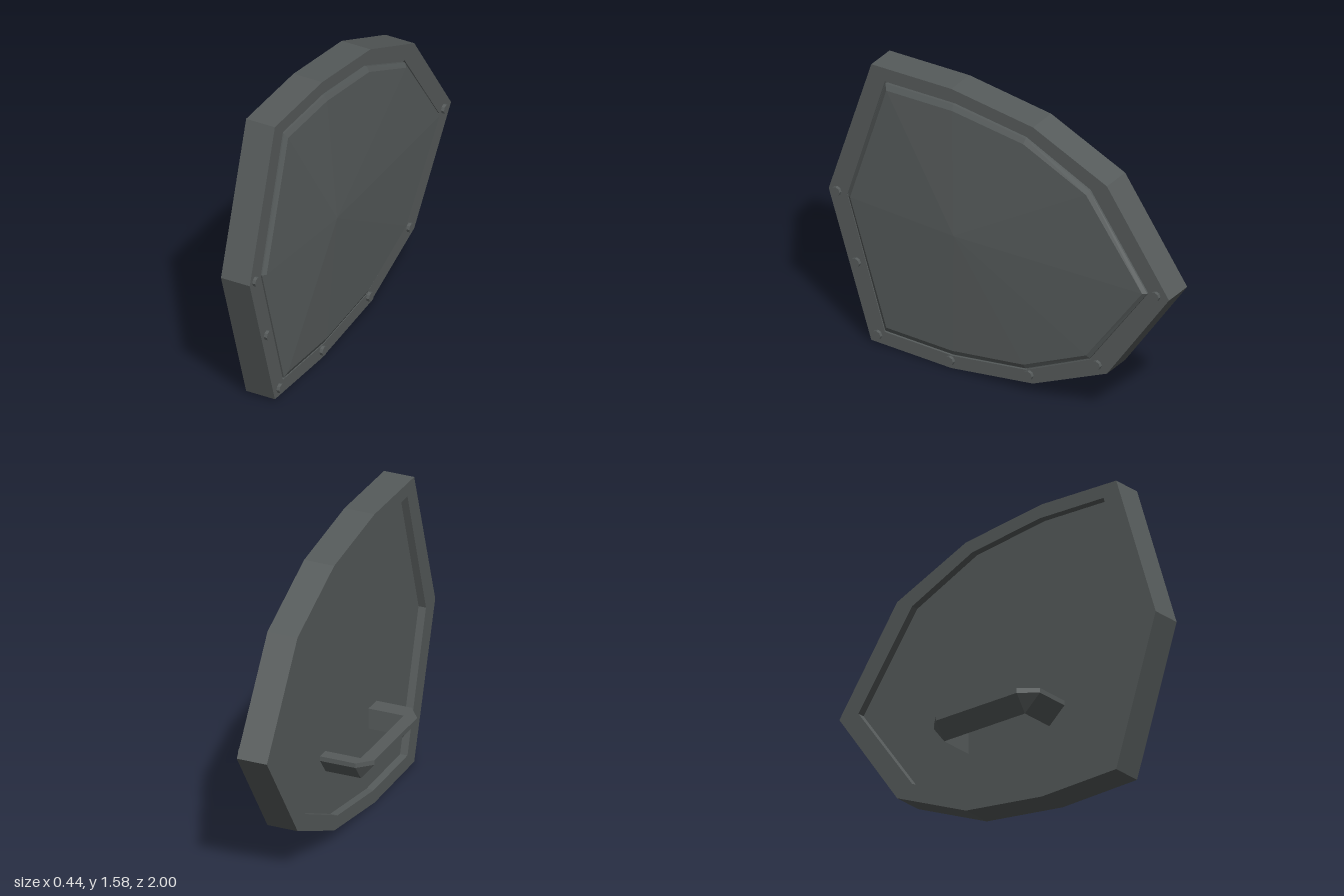
import * as THREE from 'three';

const CY = 0.79; // height of the shield's axis of symmetry

// Skin consecutive closed loops of [x, y, z] points with flat faces
function loft(loops) {
  const pos = [];
  for (let i = 0; i < loops.length - 1; i++) {
    const p = loops[i], q = loops[i + 1], n = p.length;
    for (let j = 0; j < n; j++) {
      const k = (j + 1) % n;
      pos.push(...p[j], ...q[j], ...q[k], ...p[j], ...q[k], ...p[k]);
    }
  }
  const g = new THREE.BufferGeometry();
  g.setAttribute('position', new THREE.Float32BufferAttribute(pos, 3));
  g.computeVertexNormals();
  return g;
}

// Mirror the upper half outline [z, height above axis] into a full outline
function fullOutline(half) {
  const lower = half.slice(1, -1).reverse().map(([z, h]) => [z, -h]);
  return [...half, ...lower];
}

// Place an outline at depth x, scaled about the axis
const ring = (outline, x, sz = 1, sy = 1) => outline.map(([z, h]) => [x, CY + h * sy, z * sz]);
const point = (outline, x, z) => outline.map(() => [x, CY, z]);

export function createModel() {
  const group = new THREE.Group();
  const darkMetal = new THREE.MeshStandardMaterial({ color: 0x565b5b });
  darkMetal.name = 'darkMetal';
  const add = (name, geometry) => {
    const mesh = new THREE.Mesh(geometry, darkMetal);
    mesh.name = name;
    group.add(mesh);
    return mesh;
  };

  const outer = fullOutline([[1, 0], [0.75, 0.78], [0.28, 0.79], [-0.2, 0.725], [-0.635, 0.53], [-1, 0]]);
  const inner = fullOutline([[0.89, 0], [0.67, 0.71], [0.27, 0.718], [-0.16, 0.66], [-0.54, 0.48], [-0.88, 0]]);

  // Thick rim
  add('rim', loft([
    ring(outer, 0), ring(outer, 0.162), ring(inner, 0.162), ring(inner, 0), ring(outer, 0),
  ]));

  // Panel: recessed flat back, narrow groove, bevelled edge and shallow domed face
  add('panel', loft([
    point(inner, 0.04, 0.1),
    ring(inner, 0.04),
    ring(inner, 0.15),
    ring(inner, 0.15, 0.993, 0.985),
    ring(inner, 0.165, 0.993, 0.985),
    ring(inner, 0.18, 0.97, 0.945),
    point(inner, 0.218, 0.23),
  ]));

  // Grip: wedge-shaped section swept round two chamfered corners
  const stations = [ // outer x, outer z, inner x, inner z
    [0.05, 0.39, 0.05, 0.295],
    [-0.15, 0.39, -0.15, 0.295],
    [-0.22, 0.3, -0.15, 0.295],
    [-0.22, -0.21, -0.15, -0.215],
    [-0.15, -0.28, -0.15, -0.215],
    [0.05, -0.28, 0.05, -0.215],
  ];
  add('handle', loft(stations.map(([ox, oz, ix, iz]) => [
    [ox, 0.5, oz], [ox, 0.475, oz], [ix, 0.39, iz], [ix, 0.5, iz],
  ])));

  // Rivets along the lower rim
  const rivetGeometry = new THREE.CylinderGeometry(0.025, 0.025, 0.03, 8).toNonIndexed();
  rivetGeometry.computeVertexNormals();
  rivetGeometry.rotateZ(-Math.PI / 2);
  const rivets = [
    [0.95, 0.793], [0.835, 0.425], [0.71, 0.055], [0.283, 0.045],
    [-0.18, 0.11], [-0.58, 0.295], [-0.925, 0.793],
  ];
  for (const [z, y] of rivets) add('rivet', rivetGeometry).position.set(0.164, y, z);

  return group;
}
